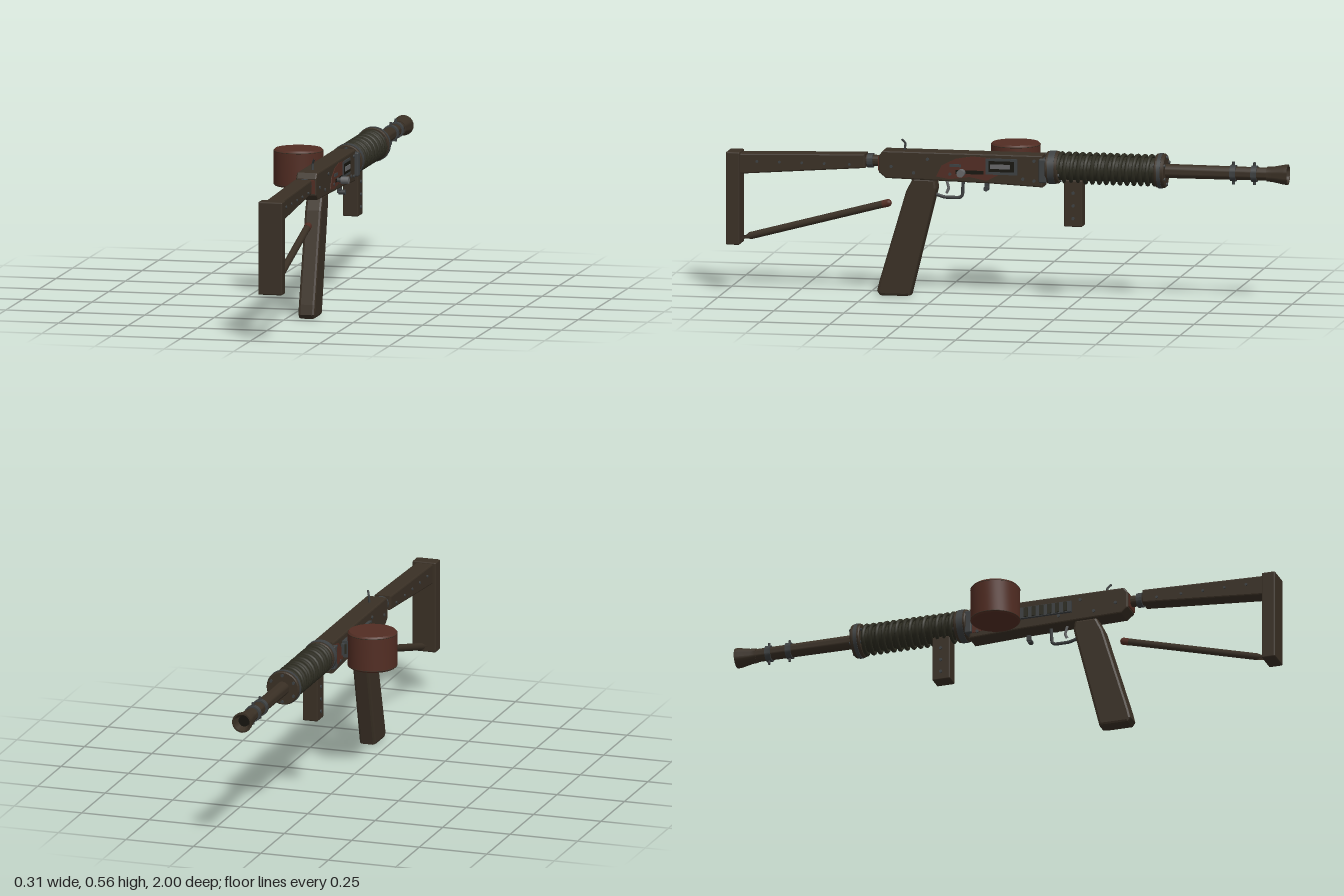
import * as THREE from 'three';
import { toCreasedNormals } from 'three/addons/utils/BufferGeometryUtils.js';
import { RoundedBoxGeometry } from 'three/addons/geometries/RoundedBoxGeometry.js';

const CX = 0.071, AXIS = 0.47; // centre plane and bore height

function paint(name, color) {
  const m = new THREE.MeshStandardMaterial({ color });
  m.name = name;
  return m;
}

export function createModel() {
  const root = new THREE.Group();
  root.name = 'scrapRifle';
  const brown = paint('weathered brown', 0x3a3025);
  const rust = paint('rust red', 0x522d23);
  const olive = paint('dark coil metal', 0x2c2b20);
  const grey = paint('dark grey steel', 0x3d4041);
  const bright = paint('worn steel', 0x666768);
  const black = paint('black recess', 0x17150f);

  const add = (name, geo, mat, parent = root) => {
    const m = new THREE.Mesh(geo, mat);
    m.name = name;
    parent.add(m);
    return m;
  };
  const group = (name) => {
    const g = new THREE.Group();
    g.name = name;
    root.add(g);
    return g;
  };
  // Box given by its two extreme corners
  const box = (name, mat, [x0, y0, z0], [x1, y1, z1], parent, r = 0) => {
    const s = [x1 - x0, y1 - y0, z1 - z0];
    const geo = r ? new RoundedBoxGeometry(...s, 2, r) : new THREE.BoxGeometry(...s);
    return add(name, geo.translate((x0 + x1) / 2, (y0 + y1) / 2, (z0 + z1) / 2), mat, parent);
  };
  // Side outline of [z, y] points, extruded across x
  const slab = (name, mat, pts, x0, x1, bevel = 0, parent = root) => {
    const shape = new THREE.Shape(pts.map((p) => new THREE.Vector2(...p)));
    const geo = new THREE.ExtrudeGeometry(shape, {
      depth: x1 - x0 - 2 * bevel, bevelEnabled: bevel > 0, bevelSize: bevel,
      bevelThickness: bevel, bevelOffset: -bevel, bevelSegments: 2,
    });
    return add(name, geo.rotateY(-Math.PI / 2).translate(x1 - bevel, 0, 0), mat, parent);
  };
  // Turned part along the bore, [radius, z] points with rising z
  const turned = (name, mat, pts, parent = root, seg = 24, y = AXIS) => {
    const lathe = new THREE.LatheGeometry(pts.map((p) => new THREE.Vector2(...p)), seg);
    const geo = toCreasedNormals(lathe.rotateX(Math.PI / 2), 0.6);
    return add(name, geo.translate(CX, y, 0), mat, parent);
  };
  // Pin lying along x
  const pin = (name, mat, x0, x1, y, z, r, parent = root, seg = 12) =>
    add(name, new THREE.CylinderGeometry(r, r, x1 - x0, seg).rotateZ(Math.PI / 2)
      .translate((x0 + x1) / 2, y, z), mat, parent);
  // Round wire or rod through a few points
  const wire = (name, mat, pts, r, parent = root) => {
    const path = new THREE.CatmullRomCurve3(pts.map((p) => new THREE.Vector3(...p)), false, 'catmullrom', 0.2);
    return add(name, new THREE.TubeGeometry(path, pts.length * 6, r, 8), mat, parent);
  };

  // Skeleton stock
  const stock = group('stock');
  box('buttPlate', brown, [0.028, 0.165, 0.95], [0.115, 0.494, 1], stock, 0.005);
  slab('stockArm', brown, [[0.505, 0.45], [0.96, 0.415], [0.96, 0.488], [0.505, 0.5]], 0.04, 0.102, 0.005, stock);
  turned('stockNeck', brown, [[0, 0.44], [0.02, 0.44], [0.02, 0.515], [0, 0.515]], stock, 16, 0.474);
  turned('neckRing', grey, [[0, 0.48], [0.026, 0.48], [0.026, 0.5], [0, 0.5]], stock, 16, 0.474);
  wire('strut', brown, [[CX, 0.182, 0.96], [CX, 0.322, 0.44]], 0.013, stock);
  wire('strutTip', rust, [[CX, 0.319, 0.45], [CX, 0.325, 0.427]], 0.0135, stock);
  add('strutCap', new THREE.SphereGeometry(0.013, 12, 8).translate(CX, 0.325, 0.428), rust, stock);
  for (const z of [0.56, 0.65, 0.73, 0.81, 0.89]) pin('stockRivet', grey, 0.036, 0.106, 0.462, z, 0.005, stock, 8);

  // Receiver
  const receiver = group('receiver');
  slab('receiverBody', brown, [[-0.13, 0.402], [0.05, 0.41], [0.43, 0.418], [0.455, 0.438],
    [0.455, 0.496], [0.44, 0.515], [-0.13, 0.515]], 0.033, 0.107, 0.005, receiver);
  box('rearRust', rust, [0.04, 0.443, 0.454], [0.102, 0.492, 0.458], receiver);
  slab('rightRust', rust, [[0.25, 0.43], [0.2, 0.422], [0.13, 0.432], [0.07, 0.42], [0.03, 0.44],
    [0.05, 0.5], [0.12, 0.505], [0.18, 0.495], [0.23, 0.47]], 0.106, 0.109, 0, receiver);
  slab('leftRust', rust, [[-0.125, 0.42], [-0.03, 0.43], [-0.05, 0.475], [-0.08, 0.5], [-0.125, 0.505]],
    0.031, 0.034, 0, receiver);
  box('portFrame', grey, [0.1, 0.443, -0.04], [0.111, 0.5, 0.072], receiver);
  box('portRecess', black, [0.11, 0.453, -0.03], [0.113, 0.491, 0.062], receiver);
  box('bolt', bright, [0.11, 0.464, -0.015], [0.116, 0.48, 0.055], receiver);
  box('handleSlot', black, [0.106, 0.442, 0.08], [0.11, 0.455, 0.18], receiver);
  pin('handleStem', grey, 0.1, 0.126, 0.449, 0.155, 0.008, receiver);
  pin('handleKnob', bright, 0.124, 0.152, 0.449, 0.155, 0.0135, receiver, 20);
  box('selectorLever', grey, [0.106, 0.466, 0.16], [0.113, 0.476, 0.2], receiver).name = 'selectorLever';
  pin('selectorPin', grey, 0.095, 0.119, 0.393, 0.07, 0.009, receiver);
  box('selectorLug', grey, [0.09, 0.39, 0.063], [0.104, 0.415, 0.077], receiver);
  for (const [z, y] of [[-0.1, 0.425], [-0.1, 0.495], [-0.06, 0.43], [0.2, 0.44], [0.28, 0.49], [0.33, 0.44], [0.41, 0.46]])
    pin('receiverRivet', grey, 0.029, 0.111, y, z, 0.006, receiver, 8);
  wire('rearSight', grey, [[CX + 0.002, 0.51, 0.37], [CX + 0.002, 0.538, 0.366], [CX + 0.01, 0.555, 0.378]], 0.004, receiver);

  // Ribbed rail on the left side and the drum it carries
  const feed = group('feed');
  box('feedRail', grey, [0.022, 0.446, -0.05], [0.034, 0.487, 0.25], feed);
  for (let i = 0; i < 10; i++)
    box('railRib', olive, [0.017, 0.449, -0.04 + i * 0.029], [0.024, 0.484, -0.026 + i * 0.029], feed);
  box('drumMount', grey, [0, 0.435, -0.035], [0.036, 0.495, 0.035], feed);
  const drumProfile = [[0, 0.402], [0.082, 0.402], [0.087, 0.407], [0.087, 0.526], [0.082, 0.532], [0, 0.532]];
  const drum = new THREE.LatheGeometry(drumProfile.map((p) => new THREE.Vector2(...p)), 40);
  add('drum', toCreasedNormals(drum, 0.6).translate(-0.067, 0, 0), rust, feed);
  for (const y of [0.408, 0.525])
    add('drumSeam', new THREE.TorusGeometry(0.0865, 0.0014, 6, 40).rotateX(Math.PI / 2).translate(-0.067, y, 0), brown, feed);

  // Grip and trigger
  const grip = group('grip');
  slab('gripBody', brown, [[0.345, 0.002], [0.365, 0], [0.452, 0], [0.463, 0.015], [0.455, 0.05], [0.36, 0.37],
    [0.335, 0.42], [0.255, 0.42], [0.25, 0.385]], 0.042, 0.102, 0.009, grip);
  wire('triggerGuard', grey, [[CX, 0.415, 0.16], [CX, 0.362, 0.163], [CX, 0.352, 0.175],
    [CX, 0.352, 0.225], [CX, 0.362, 0.26]], 0.006, grip);
  wire('trigger', bright, [[CX, 0.415, 0.22], [CX, 0.385, 0.212], [CX, 0.366, 0.22]], 0.005, grip);

  // Forward handle
  const handle = group('foreHandle');
  box('foreHandleBody', brown, [0.043, 0.265, -0.27], [0.099, 0.43, -0.205], handle, 0.004);
  for (const y of [0.295, 0.34, 0.385]) pin('handleRivet', grey, 0.039, 0.103, y, -0.238, 0.006, handle, 8);

  // Coiled fore-end between two bolted collars
  const fore = group('foreEnd');
  turned('coilCore', olive, [[0, -0.55], [0.044, -0.55], [0.044, -0.14], [0, -0.14]], fore);
  const turns = 14, helix = new THREE.Curve();
  helix.getPoint = (t, out = new THREE.Vector3()) => {
    const a = t * turns * Math.PI * 2;
    return out.set(CX + 0.05 * Math.cos(a), AXIS + 0.05 * Math.sin(a), -0.185 - 0.345 * t);
  };
  add('coil', new THREE.TubeGeometry(helix, turns * 22, 0.0075, 7), olive, fore);
  for (const [z0, z1, r] of [[-0.185, -0.14, 0.057], [-0.565, -0.53, 0.06]]) {
    turned('collar', brown, [[0, z0], [r - 0.003, z0], [r, z0 + 0.004], [r, z1 - 0.004], [r - 0.003, z1], [0, z1]], fore, 28);
    turned('collarBand', grey, [[r, z0 + 0.012], [r + 0.002, z0 + 0.012], [r + 0.002, z1 - 0.01], [r, z1 - 0.01]], fore, 28);
    for (let i = 0; i < 6; i++) {
      const a = (i + 0.5) * Math.PI / 3;
      add('collarBolt', new THREE.CylinderGeometry(0.006, 0.006, z1 - z0 + 0.01, 6).rotateX(Math.PI / 2)
        .translate(CX + (r - 0.012) * Math.cos(a), AXIS + (r - 0.012) * Math.sin(a), (z0 + z1) / 2), grey, fore);
    }
  }
  box('frontBracket', grey, [0.022, 0.42, -0.145], [0.12, 0.505, -0.118], fore, 0.005);

  // Barrel, clamps and flared muzzle
  const barrel = group('barrel');
  turned('barrelTube', brown, [[0, -0.95], [0.023, -0.95], [0.025, -0.56], [0, -0.56]], barrel);
  turned('muzzle', brown, [[0, -0.97], [0.018, -0.97], [0.03, -1], [0.036, -1], [0.035, -0.985],
    [0.027, -0.945], [0.026, -0.925], [0, -0.925]], barrel);
  turned('bore', black, [[0, -0.976], [0.02, -0.976], [0.02, -0.97]], barrel);
  for (const z of [-0.805, -0.88]) {
    turned('clamp', grey, [[0, z - 0.01], [0.029, z - 0.01], [0.029, z + 0.01], [0, z + 0.01]], barrel);
    for (const s of [-1, 1])
      add('clampStud', new THREE.CylinderGeometry(0.005, 0.005, 0.014, 8)
        .translate(CX, AXIS + s * 0.033, z), grey, barrel);
  }

  return root;
}
